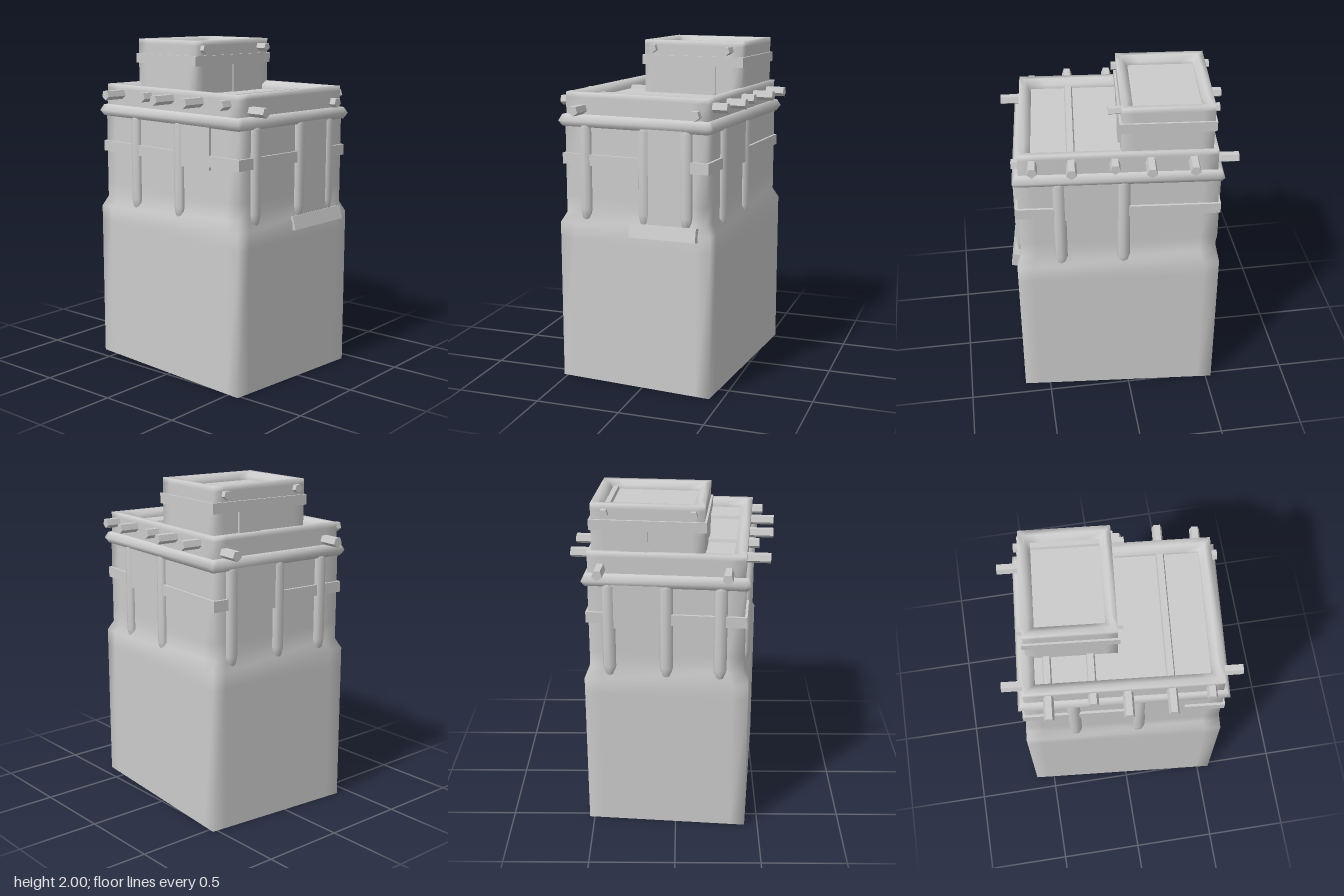
import * as THREE from 'three';

const grey = new THREE.MeshStandardMaterial({ color: 0xcccccc, side: THREE.DoubleSide });

function add(parent, name, geometry, x = 0, y = 0, z = 0) {
  const mesh = new THREE.Mesh(geometry, grey);
  mesh.name = name;
  mesh.position.set(x, y, z);
  parent.add(mesh);
  return mesh;
}

// Skin rectangular rings [halfWidth, halfDepth, y]; loops beside the corners keep the shading soft there only
function loft(rings, loop = 0.09) {
  const pos = [], index = [], n = 12;
  for (const [w, d, y] of rings) {
    const a = w - loop, b = d - loop;
    const ring = [[-w, d], [-a, d], [a, d], [w, d], [w, b], [w, -b],
      [w, -d], [a, -d], [-a, -d], [-w, -d], [-w, -b], [-w, b]];
    for (const [x, z] of ring) pos.push(x, y, z);
  }
  for (let r = 0; r < rings.length - 1; r++) {
    for (let i = 0; i < n; i++) {
      const a = r * n + i, b = r * n + (i + 1) % n;
      index.push(a, b, b + n, a, b + n, a + n);
    }
  }
  const g = new THREE.BufferGeometry();
  g.setAttribute('position', new THREE.Float32BufferAttribute(pos, 3));
  g.setIndex(index);
  g.computeVertexNormals();
  return g;
}

// Five-sided flat-shaded log, running outward along +z from the origin
function beamGeometry(length, r) {
  const g = new THREE.CylinderGeometry(r, r, length, 5).toNonIndexed();
  g.computeVertexNormals();
  return g.rotateX(Math.PI / 2).translate(0, 0, length / 2);
}

// Rounded, flattened buttress tapering to a point at both ends
function pilasterGeometry(bottom, top) {
  const r = 0.038;
  const profile = [[0, bottom], [r * 0.7, bottom + 0.04], [r, bottom + 0.09], [r, top - 0.03], [0, top]];
  return new THREE.LatheGeometry(profile.map(([x, y]) => new THREE.Vector2(x, y)), 8).scale(1, 1, 0.75);
}

function horizontal(w, d, down = false) {
  return new THREE.PlaneGeometry(w, d).rotateX(down ? Math.PI / 2 : -Math.PI / 2);
}

export function createModel() {
  const model = new THREE.Group();
  model.name = 'tower';
  const body = new THREE.Group();
  body.name = 'towerBody';
  body.position.set(0.003, 0, 0.02);
  body.rotation.y = -0.087;
  model.add(body);

  // Walls, cornice, parapet and shallow roof deck
  const W = 0.445, D = 0.573;
  add(body, 'walls', loft([[0.477, 0.598, 0], [0.477, 0.598, 0.86], [0.477, 0.598, 0.96],
    [W, D, 1.02], [W, D, 1.12], [W, D, 1.55]]));
  add(body, 'underside', horizontal(0.954, 1.196, true));
  add(body, 'cornice', loft([[W - 0.01, D - 0.01, 1.535], [0.458, 0.582, 1.533], [0.479, 0.598, 1.565],
    [0.46, 0.582, 1.602], [W - 0.01, 0.55, 1.605]], 0.03));
  add(body, 'parapet', loft([[W, 0.56, 1.59], [W, 0.56, 1.7], [W, 0.56, 1.73],
    [0.41, 0.525, 1.73], [0.375, 0.49, 1.705], [0.375, 0.49, 1.67]]));
  add(body, 'roofDeck', horizontal(0.78, 1.0), 0, 1.68, 0);
  for (const z of [0.264, -0.174, -0.42]) {
    add(body, 'roofBeam', beamGeometry(0.82, 0.031).rotateY(Math.PI / 2), -0.41, 1.675, z);
  }

  // Wall trim; u runs left to right as each face is seen from outside
  const faces = [
    { name: 'front', turn: 0, out: D, half: W, posts: [-0.314, 0.06, 0.32], panel: [0.08, 0.3, 0.97], low: 0.96 },
    { name: 'left', turn: 1, out: W, half: D, posts: [-0.337, 0.03], panel: [-0.3, 0, 1.29], low: 0.93 },
    { name: 'back', turn: 2, out: D, half: W, posts: [-0.33, 0, 0.31], panel: [-0.3, -0.03, 1.28], low: 0.95 },
    { name: 'right', turn: 3, out: W, half: D, posts: [-0.29, 0.09], panel: [0.12, 0.34, 1.29], low: 0.95 },
  ];
  for (const f of faces) {
    const side = new THREE.Group();
    side.name = f.name + 'Trim';
    side.rotation.y = f.turn * Math.PI / 2;
    body.add(side);
    for (const u of f.posts) add(side, 'pilaster', pilasterGeometry(f.low, 1.56), u, 0, f.out);
    const [p0, p1, pb] = f.panel;
    add(side, 'panel', new THREE.BoxGeometry(p1 - p0 + 0.02, 1.56 - pb, 0.03),
      (p0 + p1) / 2, (1.56 + pb) / 2, f.out);
    for (const [a, b] of [[-f.half - 0.015, p0], [p1, f.half + 0.015]]) {
      add(side, 'band', new THREE.BoxGeometry(b - a, 0.065, 0.03), (a + b) / 2, 1.343, f.out);
    }
  }

  // Sloping canopy low on the front
  const canopy = add(body, 'canopy', new THREE.BoxGeometry(0.42, 0.082, 0.05), 0.19, 0.957, 0.595);
  canopy.rotation.set(-0.25, -0.035, 0.02);

  // Main beam ends: sides as [z, reach], front and back as [x, reach]
  const beams = [
    { turn: 1, y: 1.675, list: [[-0.42, 0.56], [-0.18, 0.57], [0.02, 0.524], [0.262, 0.56], [0.48, 0.534]] },
    { turn: 3, y: 1.675, list: [[-0.421, 0.579], [-0.172, 0.507], [0.021, 0.586], [0.267, 0.584], [0.486, 0.51]] },
    { turn: 0, y: 1.635, list: [[-0.337, 0.677], [0.378, 0.6]] },
    { turn: 2, y: 1.635, list: [[-0.351, 0.682], [0.371, 0.685]] },
  ];
  for (const { turn, y, list } of beams) {
    const start = turn % 2 ? 0.41 : 0.52;
    for (const [t, reach] of list) {
      const pivot = new THREE.Group();
      pivot.name = 'beamEnd';
      pivot.rotation.y = turn * Math.PI / 2;
      body.add(pivot);
      const u = turn === 1 || turn === 2 ? -t : t;
      add(pivot, 'beam', beamGeometry(reach - start, 0.031), u, y, start);
    }
  }

  // Small rooftop house with its own band, parapet and beams
  const house = new THREE.Group();
  house.name = 'roofHouse';
  house.position.set(0.106, 0, -0.275);
  body.add(house);
  const w = 0.317, d = 0.257;
  add(house, 'houseWalls', loft([[w, d, 1.66], [w, d, 1.97], [w, d, 2],
    [w - 0.032, d - 0.032, 2], [w - 0.065, d - 0.065, 1.975], [w - 0.065, d - 0.065, 1.945]], 0.07));
  add(house, 'houseRoof', horizontal(2 * w - 0.12, 2 * d - 0.12), 0, 1.953, 0);
  add(house, 'houseRoofBeam', beamGeometry(0.42, 0.026), 0.238, 1.95, -0.21);
  add(house, 'houseBand', loft([[w, d, 1.85], [w + 0.012, d + 0.012, 1.85],
    [w + 0.012, d + 0.012, 1.91], [w, d, 1.91]], 0.03).toNonIndexed()).geometry.computeVertexNormals();
  for (const s of [1, -1]) {
    add(house, 'doorPanel', new THREE.BoxGeometry(0.15, 0.2, 0.02), 0.075, 1.765, s * (d + 0.001));
    for (const x of [-0.255, 0.24]) {
      const reach = s > 0 && x > 0 ? 0.1 : 0.06;
      const beam = add(house, 'houseBeam', beamGeometry(reach, 0.026), x, 1.95, s * (d - 0.03));
      if (s < 0) beam.rotation.y = Math.PI;
    }
  }
  return model;
}
